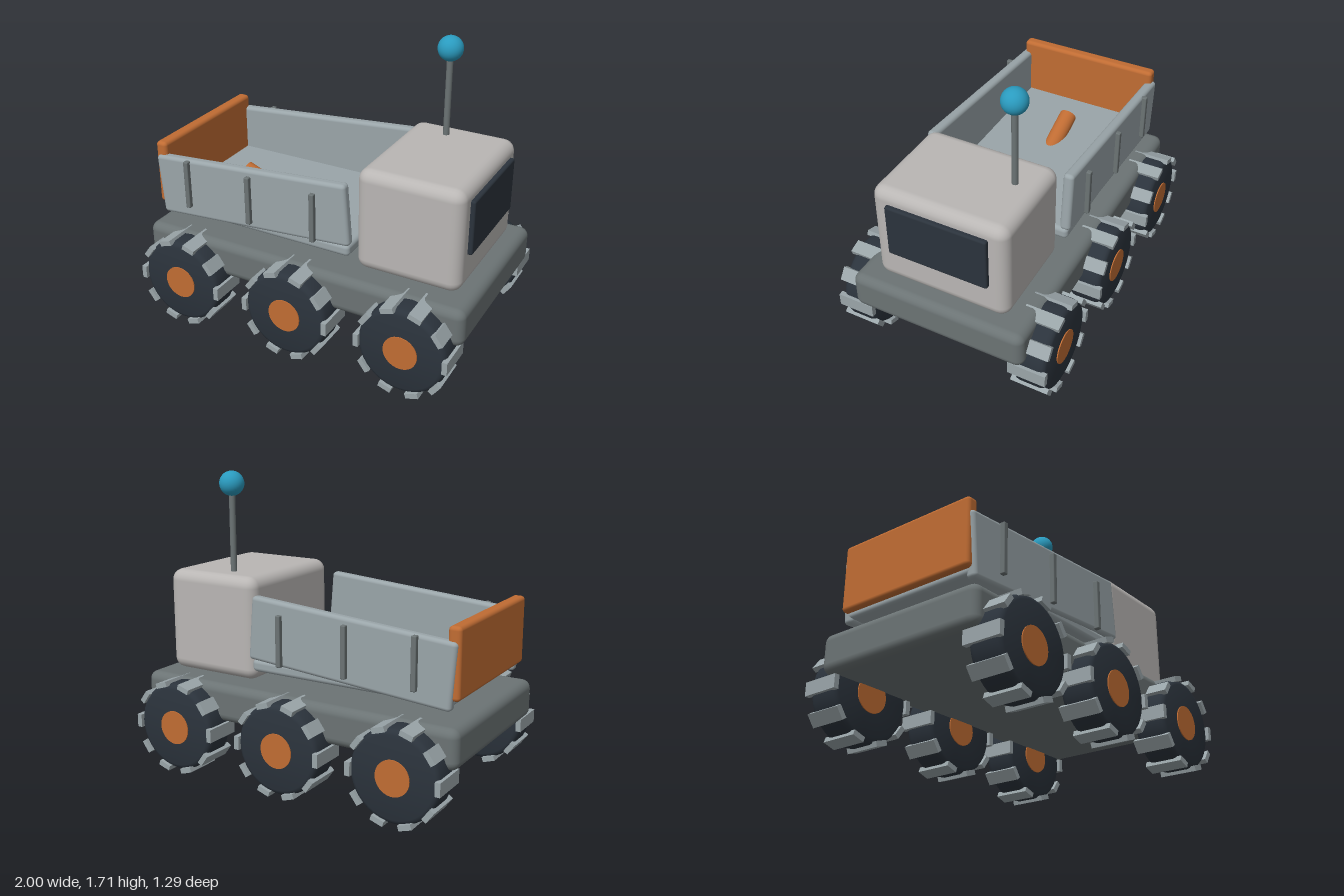
import * as THREE from 'three';
import { toCreasedNormals } from 'three/addons/utils/BufferGeometryUtils.js';
import { RoundedBoxGeometry } from 'three/addons/geometries/RoundedBoxGeometry.js';

const mat = (color) => new THREE.MeshStandardMaterial({ color });
const paint = {
  frame: mat(0x6b7374), cab: mat(0xb9b6b4), panel: mat(0x9aa5a9),
  rubber: mat(0x2b333c), orange: mat(0xc06c33), blue: mat(0x2a9bbf),
};

function add(parent, name, geometry, material, x = 0, y = 0, z = 0) {
  const mesh = new THREE.Mesh(geometry, material);
  mesh.name = name;
  mesh.position.set(x, y, z);
  parent.add(mesh);
  return mesh;
}

// Box with softened edges
const softBox = (w, h, d, r) => new RoundedBoxGeometry(w, h, d, 3, r);

// Cylinder between two points
function rod(parent, name, a, b, radius, material) {
  const dir = b.clone().sub(a);
  const mesh = add(parent, name, new THREE.CylinderGeometry(radius, radius, dir.length(), 24), material);
  mesh.position.copy(a).add(b).multiplyScalar(0.5);
  mesh.quaternion.setFromUnitVectors(new THREE.Vector3(0, 1, 0), dir.normalize());
}

// Tyre with rounded shoulders, hub and ten tread bars; axle along z
function makeWheel() {
  const wheel = new THREE.Group();
  wheel.name = 'wheel';
  const half = [[0.255, 0.06], [0.25, 0.078], [0.24, 0.09], [0.225, 0.095], [0, 0.095]];
  const profile = [
    ...half.map(([r, h]) => new THREE.Vector2(r, -h)).reverse(),
    ...half.map(([r, h]) => new THREE.Vector2(r, h)),
  ];
  const tyre = toCreasedNormals(new THREE.LatheGeometry(profile, 40), 0.6).rotateX(Math.PI / 2);
  add(wheel, 'tyre', tyre, paint.rubber);
  add(wheel, 'hub', new THREE.CylinderGeometry(0.098, 0.098, 0.202, 32).rotateX(Math.PI / 2), paint.orange);
  const bar = new THREE.BoxGeometry(0.03, 0.076, 0.22);
  for (let i = 0; i < 10; i++) {
    const a = (i / 10) * Math.PI * 2;
    const tread = add(wheel, 'tread', bar, paint.panel, Math.cos(a) * 0.255, Math.sin(a) * 0.255, 0);
    tread.rotation.z = a;
  }
  return wheel;
}

export function createModel() {
  const model = new THREE.Group();
  model.name = 'dumpTruck';

  add(model, 'chassis', softBox(2, 0.222, 1.04, 0.05), paint.frame, 0, 0.424, 0);

  // Six wheels
  for (const x of [-0.705, 0, 0.705]) {
    for (const side of [-1, 1]) {
      const wheel = makeWheel();
      wheel.position.set(x, 0.27, side * 0.535);
      model.add(wheel);
    }
  }

  // Cab and windscreen
  add(model, 'cab', softBox(0.606, 0.596, 0.79, 0.065), paint.cab, 0.612, 0.838, 0);
  add(model, 'windscreen', softBox(0.05, 0.315, 0.59, 0.012), paint.rubber, 0.915, 0.902, 0);

  // Antenna
  const base = new THREE.Vector3(0.545, 1.1, -0.25);
  const tip = new THREE.Vector3(0.545, 1.62, -0.25);
  rod(model, 'antennaMast', base, tip, 0.018, paint.frame);
  add(model, 'antennaBall', new THREE.SphereGeometry(0.071, 32, 20), paint.blue, 0.545, 1.638, -0.25);

  // Cargo bed
  const bed = new THREE.Group();
  bed.name = 'cargoBed';
  model.add(bed);
  add(bed, 'bedFloor', softBox(1.225, 0.072, 0.87, 0.025), paint.panel, -0.318, 0.655, 0);
  for (const side of [-1, 1]) {
    const panel = add(bed, 'bedSide', softBox(1.235, 0.362, 0.062, 0.022), paint.panel, -0.325, 0.826, side * 0.422);
    panel.rotation.z = 0.08;
    for (const x of [-0.73, -0.32, 0.089]) {
      add(bed, 'sideRib', softBox(0.03, 0.29, 0.035, 0.006), paint.frame, x, 0.826, side * 0.461);
    }
  }
  add(bed, 'tailgate', softBox(0.072, 0.385, 0.87, 0.022), paint.orange, -0.93, 0.843, 0);

  // Lifting ram passing through the bed floor
  rod(model, 'liftRam', new THREE.Vector3(-0.64, 0.745, 0), new THREE.Vector3(-0.115, 0.535, 0), 0.053, paint.orange);

  return model;
}
